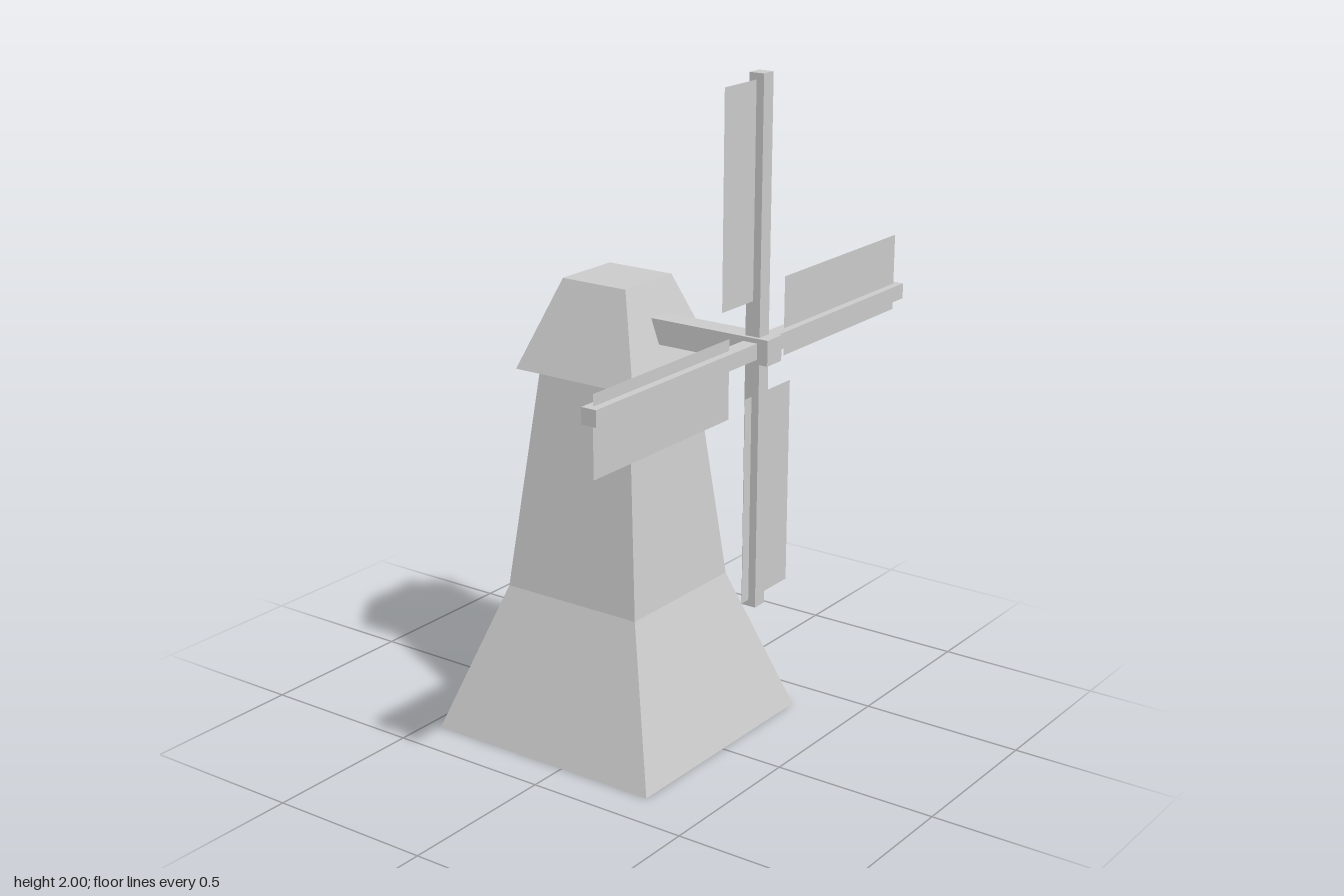
import * as THREE from 'three';

export function createModel() {
  const model = new THREE.Group();
  model.name = 'windmill';

  const stone = new THREE.MeshStandardMaterial({ color: 0xcccccc, flatShading: true });
  stone.name = 'light grey';
  const cloth = stone.clone();
  cloth.name = 'light grey sail';
  cloth.side = THREE.DoubleSide;

  const TOWER_Z = -0.077, HUB_Y = 1.243, HUB_Z = 0.399;

  function add(parent, name, geometry, material, x, y, z) {
    const mesh = new THREE.Mesh(geometry, material);
    mesh.name = name;
    mesh.position.set(x, y, z);
    parent.add(mesh);
    return mesh;
  }

  // Square tapered block, given half widths and heights
  function taper(name, bottomHalf, topHalf, y0, y1, open = false) {
    const g = new THREE.CylinderGeometry(topHalf * Math.SQRT2, bottomHalf * Math.SQRT2, y1 - y0, 4, 1, open);
    g.rotateY(Math.PI / 4);
    add(model, name, g, stone, 0, (y0 + y1) / 2, TOWER_Z);
  }

  // Tower and cap
  taper('towerBase', 0.38, 0.229, 0, 0.445);
  taper('towerShaft', 0.229, 0.158, 0.445, 1.11, true);
  taper('cap', 0.207, 0.11, 1.11, 1.372);

  // Axle running from inside the cap through the hub
  add(model, 'axle', new THREE.BoxGeometry(0.07, 0.073, 0.455), stone, 0, HUB_Y, 0.2285);

  // Rotor: two crossed spars and four offset sails
  const rotor = new THREE.Group();
  rotor.name = 'rotor';
  rotor.position.set(0, HUB_Y, HUB_Z);
  model.add(rotor);

  add(rotor, 'horizontalSpar', new THREE.BoxGeometry(1.514, 0.046, 0.046), stone, 0, 0, 0);
  add(rotor, 'verticalSpar', new THREE.BoxGeometry(0.046, 1.514, 0.046), stone, 0, 0, 0);

  for (let i = 0; i < 4; i++) {
    const arm = new THREE.Group();
    arm.name = 'sailArm' + (i + 1);
    arm.rotation.z = i * Math.PI / 2;
    rotor.add(arm);
    add(arm, 'sail', new THREE.PlaneGeometry(0.603, 0.228), cloth, 0.4375, 0.058, 0);
  }

  return model;
}
